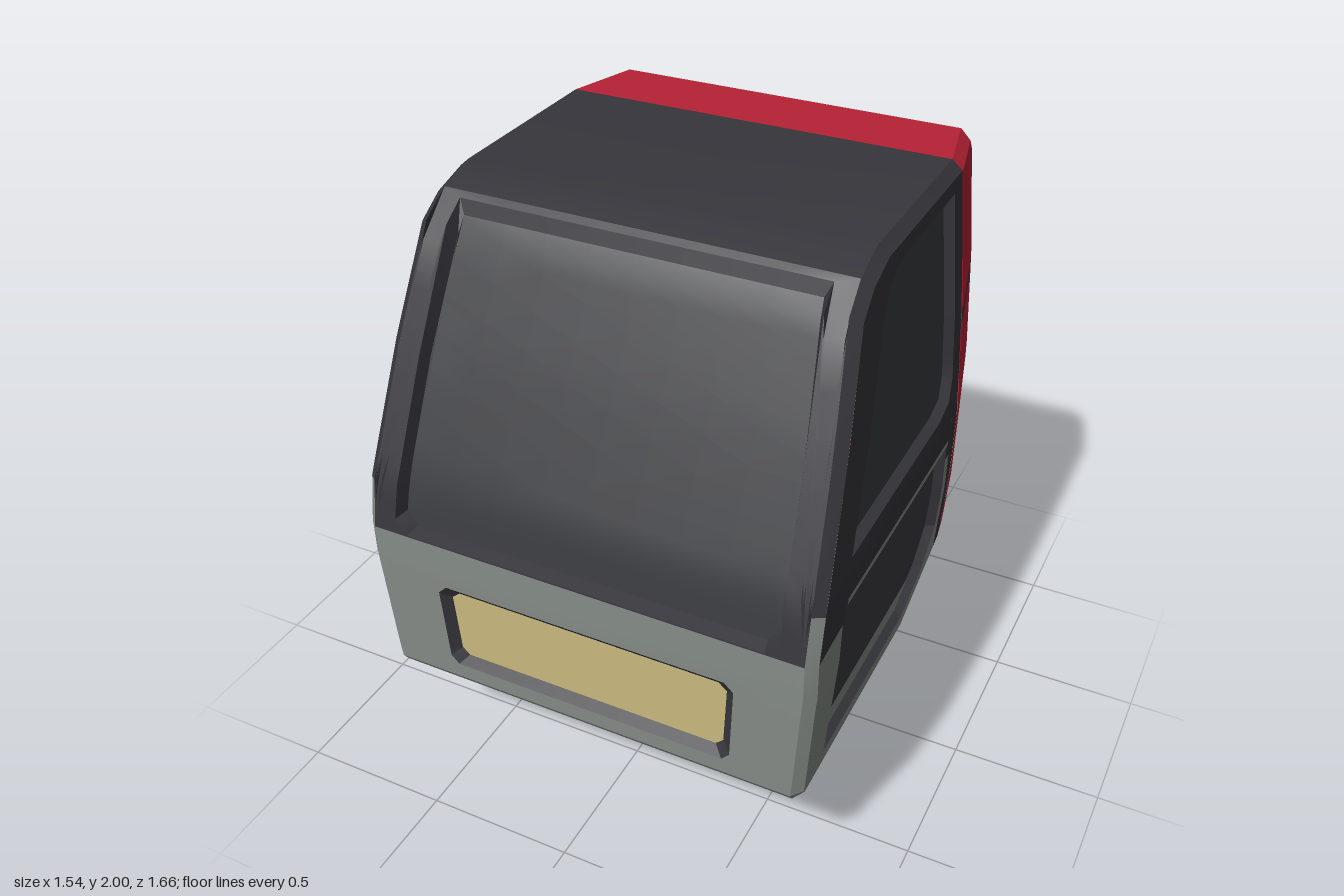
import * as THREE from 'three';
import { toCreasedNormals } from 'three/addons/utils/BufferGeometryUtils.js';

const paint = (name, color) =>
  new THREE.MeshStandardMaterial({ name, color, side: THREE.DoubleSide });

// Cab outline as [z, y]: belly, front, roof, back
const P = [
  [-0.39, 0.575], [-0.35, 0.552], [-0.07, 0.40], [0.80, 0.40], [0.82, 0.43],
  [0.83, 0.85], [0.83, 0.97], [0.80, 1.13], [0.63, 1.54], [0.475, 1.89],
  [0.38, 1.96], [0.25, 2.0], [-0.39, 2.0], [-0.66, 1.99], [-0.73, 1.93],
  [-0.80, 1.50], [-0.805, 1.46], [-0.83, 0.98], [-0.83, 0.86], [-0.82, 0.82],
];
const BEVEL = 0.032;

// Outline moved inwards, where the side panels begin
const Q = P.map((p, i) => {
  const normal = (a, b) => new THREE.Vector2(b[1] - a[1], a[0] - b[0]).normalize();
  const n1 = normal(P[(i + P.length - 1) % P.length], p);
  const n2 = normal(p, P[(i + 1) % P.length]);
  const k = BEVEL * 0.95 / (1 + n1.dot(n2));
  return [p[0] - (n1.x + n2.x) * k, p[1] - (n1.y + n2.y) * k];
});

// Piecewise linear lookup of [key, value] pairs with rising keys
function lerpTable(table, k) {
  let i = 1;
  while (i < table.length - 1 && k > table[i][0]) i++;
  const [a, b] = [table[i - 1], table[i]];
  return a[1] + (b[1] - a[1]) * (k - a[0]) / (b[0] - a[0]);
}
const widths = [[0.40, 0.735], [0.85, 0.765], [1.13, 0.765], [1.54, 0.738], [2.0, 0.69]];
const halfWidth = (z, y) => lerpTable(widths, y) * (1 - Math.max(0, -0.4 - z) * 0.33);
const edgeX = i => halfWidth(...P[i]) - BEVEL;
const swap = ([z, y]) => [y, z];
const frontTable = P.slice(4, 11).map(swap);
const backTable = P.slice(14, 19).map(swap).reverse();

// Maps from flat panel coordinates and inward depth to space
const sideMap = s => (z, y, d) => new THREE.Vector3(s * (halfWidth(z, y) - d), y, z);
const frontMap = (x, y, d) => new THREE.Vector3(x, y, lerpTable(frontTable, y) - d);
const backMap = (x, y, d) => new THREE.Vector3(x, y, lerpTable(backTable, y) + d);

const mirrored = pts => [...pts, ...pts.map(([x, y]) => [-x, y]).reverse()];
const CENTRE = new THREE.Vector3(0, 1.2, 0);

// Mesh from triangles, all turned away from (or towards) a reference point
function triMesh(name, tris, mat, ref = CENTRE, sign = 1) {
  const pts = [];
  for (const [a, b, c] of tris) {
    const n = b.clone().sub(a).cross(c.clone().sub(a));
    const out = n.dot(a.clone().add(b).add(c).divideScalar(3).sub(ref)) * sign;
    pts.push(...(out >= 0 ? [a, b, c] : [a, c, b]));
  }
  const geo = toCreasedNormals(new THREE.BufferGeometry().setFromPoints(pts), 0.4);
  const mesh = new THREE.Mesh(geo, mat);
  mesh.name = name;
  return mesh;
}
const quad = (a, b, c, d) => [[a, b, c], [a, c, d]];

// Flat outline with holes, subdivided and bent onto the body surface
function panel(name, outline, holes, map, mat, depth = 0) {
  const vec = list => list.map(p => new THREE.Vector2(...p));
  const contour = vec(outline), inner = holes.map(vec);
  const all = [contour, ...inner].flat();
  let tris = THREE.ShapeUtils.triangulateShape(contour, inner).map(f => f.map(i => all[i]));
  for (let n = 0; n < 3; n++) {
    tris = tris.flatMap(([a, b, c]) => {
      const mid = (p, q) => p.clone().add(q).multiplyScalar(0.5);
      const [ab, bc, ca] = [mid(a, b), mid(b, c), mid(c, a)];
      return [[a, ab, ca], [ab, b, bc], [ca, bc, c], [ab, bc, ca]];
    });
  }
  return triMesh(name, tris.map(t => t.map(p => map(p.x, p.y, depth))), mat);
}

// Sunken opening: sloping walls and a floor panel
function recess(name, rim, floor, map, depth, wallMat, floorMat) {
  const group = new THREE.Group();
  group.name = name;
  const mid = rim.reduce((m, p) => [m[0] + p[0] / rim.length, m[1] + p[1] / rim.length], [0, 0]);
  const walls = [];
  const along = (list, i, t) => {
    const a = list[i], b = list[(i + 1) % list.length];
    return [a[0] + (b[0] - a[0]) * t, a[1] + (b[1] - a[1]) * t];
  };
  rim.forEach((_, i) => {
    for (let k = 0; k < 8; k++) {
      const [t, u] = [k / 8, (k + 1) / 8];
      walls.push(...quad(map(...along(rim, i, t), 0), map(...along(rim, i, u), 0),
        map(...along(floor, i, u), depth), map(...along(floor, i, t), depth)));
    }
  });
  group.add(triMesh(name + 'Rim', walls, wallMat, map(...mid, 0), -1));
  group.add(panel(name + 'Pane', floor, [], map, floorMat, depth));
  return group;
}
function shrink(pts, amount) {
  const xs = pts.map(p => p[0]), ys = pts.map(p => p[1]);
  const c = [xs, ys].map(v => (Math.min(...v) + Math.max(...v)) / 2);
  const h = [xs, ys].map(v => (Math.max(...v) - Math.min(...v)) / 2);
  return pts.map(p => p.map((v, k) => c[k] + (v - c[k]) * (1 - amount / h[k])));
}

export function createModel() {
  const dark = paint('charcoal', 0x35353b);
  const glass = paint('darkGlass', 0x3a3b3f);
  const grey = paint('grey', 0x858c87);
  const red = paint('red', 0xb82236);
  const paleRed = paint('paleRed', 0xbf5a52);
  const tan = paint('tan', 0xcbba80);
  const model = new THREE.Group();
  model.name = 'cab';

  // Belly, roof and lower back, spanning the full width
  const across = (name, from, to, mat) => {
    const tris = [];
    for (let i = from; i < to; i++) {
      const j = (i + 1) % P.length;
      const at = (k, s) => new THREE.Vector3(s * edgeX(k), P[k][1], P[k][0]);
      tris.push(...quad(at(i, -1), at(i, 1), at(j, 1), at(j, -1)));
    }
    model.add(triMesh(name, tris, mat));
  };
  across('belly', 1, 4, grey);
  across('bellyBelt', 0, 1, dark);
  across('roof', 10, 12, dark);
  across('rearRoof', 12, 14, red);
  across('rearSlope', 18, 20, paleRed);

  // Front with windscreen and lamp
  const rows = (from, to) => {
    const pts = [];
    for (let i = from; i <= to; i++) pts.push([edgeX(i), P[i][1]]);
    return mirrored(pts);
  };
  const screen = mirrored([[0.61, 0.975], [0.655, 1.02], [0.63, 1.5], [0.595, 1.945]]);
  const screenPane = mirrored([[0.60, 0.985], [0.64, 1.03], [0.615, 1.5], [0.575, 1.90]]);
  const lamp = mirrored([[0.475, 0.485], [0.502, 0.515], [0.515, 0.78], [0.485, 0.81]]);
  model.add(
    panel('noseFront', rows(4, 6), [lamp], frontMap, grey),
    panel('windscreenFrame', rows(6, 10), [screen], frontMap, dark),
    recess('windscreen', screen, screenPane, frontMap, 0.045, dark, glass),
    recess('lamp', lamp, shrink(lamp, 0.032), frontMap, 0.025, dark, tan));

  // Back with window and stripe
  const rearWindow = mirrored([[0.55, 1.535], [0.572, 1.56], [0.555, 1.86], [0.535, 1.89]]);
  model.add(
    panel('backLower', rows(16, 18), [], backMap, red),
    panel('backStripe', rows(15, 16), [], backMap, dark),
    panel('backUpper', rows(14, 15), [rearWindow], backMap, red),
    recess('rearWindow', rearWindow, shrink(rearWindow, 0.015), backMap, 0.03, dark, glass));

  // Side openings as [z, y]
  const sideWindow = [[0.575, 1.19], [0.30, 1.82], [0.24, 1.885], [0.16, 1.922],
    [-0.315, 1.925], [-0.315, 1.29], [-0.285, 1.215], [-0.20, 1.19]];
  const door = [[0.60, 1.045], [0.625, 0.98], [0.65, 0.48], [-0.05, 0.48],
    [-0.22, 0.57], [-0.30, 0.70], [-0.30, 0.98], [-0.30, 1.045]];
  const seam = y => [-0.39, y];
  const bevels = [['bevelBelt', 0, 1, dark], ['bevelNose', 1, 7, grey],
    ['bevelFrame', 7, 12, dark], ['bevelRearTop', 12, 15, red], ['bevelStripe', 15, 16, dark],
    ['bevelRear', 16, 17, red], ['bevelRearLow', 17, 20, paleRed]];

  for (const s of [1, -1]) {
    const map = sideMap(s);
    const side = new THREE.Group();
    side.name = s > 0 ? 'leftSide' : 'rightSide';
    side.add(
      panel('rearUpper', [Q[12], Q[13], Q[14], Q[15], seam(1.495)], [], map, red),
      panel('rearStripe', [seam(1.495), Q[15], Q[16], seam(1.455)], [], map, dark),
      panel('rearLower', [seam(1.455), Q[16], Q[17], Q[18], Q[19], Q[0]], [], map, red),
      panel('lowerSide', [...Q.slice(1, 7), ...door.slice(1, 7), [Q[1][0], 0.98]], [], map, grey),
      panel('upperSide', [...Q.slice(6, 13), Q[0], Q[1], [Q[1][0], 0.98], door[6], door[7],
        door[0], door[1]], [sideWindow], map, dark),
      recess('sideWindow', sideWindow, shrink(sideWindow, 0.018), map, 0.03, dark, glass),
      recess('doorPanel', door, shrink(door, 0.02), map, 0.03, dark, glass),
      // Pale trim above and at the foot of the door panel
      panel('doorTopTrim', [[0.60, 1.04], [0.60, 1.06], [-0.30, 1.06], [-0.30, 1.04]],
        [], map, grey, -0.003),
      panel('doorFootTrim', [[0.63, 0.50], [0.625, 0.568], [-0.15, 0.568], [-0.13, 0.55],
        [-0.05, 0.50]], [], map, grey, 0.026));

    // Bevelled edge around the side
    for (const [name, from, to, mat] of bevels) {
      const tris = [];
      for (let i = from; i < to; i++) {
        const j = (i + 1) % P.length;
        const outer = k => new THREE.Vector3(s * edgeX(k), P[k][1], P[k][0]);
        tris.push(...quad(outer(i), outer(j), map(...Q[j], 0), map(...Q[i], 0)));
      }
      side.add(triMesh(name, tris, mat));
    }

    // Tapered leg with rounded ends
    const oval = new THREE.Shape();
    oval.absellipse(0, 0.11, 0.065, 0.062, 0, Math.PI, false);
    oval.absellipse(0, -0.11, 0.065, 0.062, Math.PI, Math.PI * 2, false);
    const leg = new THREE.ExtrudeGeometry(oval, { depth: 0.44, bevelEnabled: false, curveSegments: 8 });
    leg.rotateX(-Math.PI / 2);
    const pos = leg.attributes.position;
    for (let i = 0; i < pos.count; i++) {
      const t = pos.getY(i) / 0.44;
      pos.setX(i, pos.getX(i) * (0.83 + 0.19 * t));
      pos.setZ(i, pos.getZ(i) * (0.96 + 0.05 * t));
    }
    const legMesh = new THREE.Mesh(toCreasedNormals(leg, 0.6), dark);
    legMesh.name = 'leg';
    legMesh.position.set(s * 0.477, 0, 0.178);
    side.add(legMesh);
    model.add(side);
  }
  return model;
}
